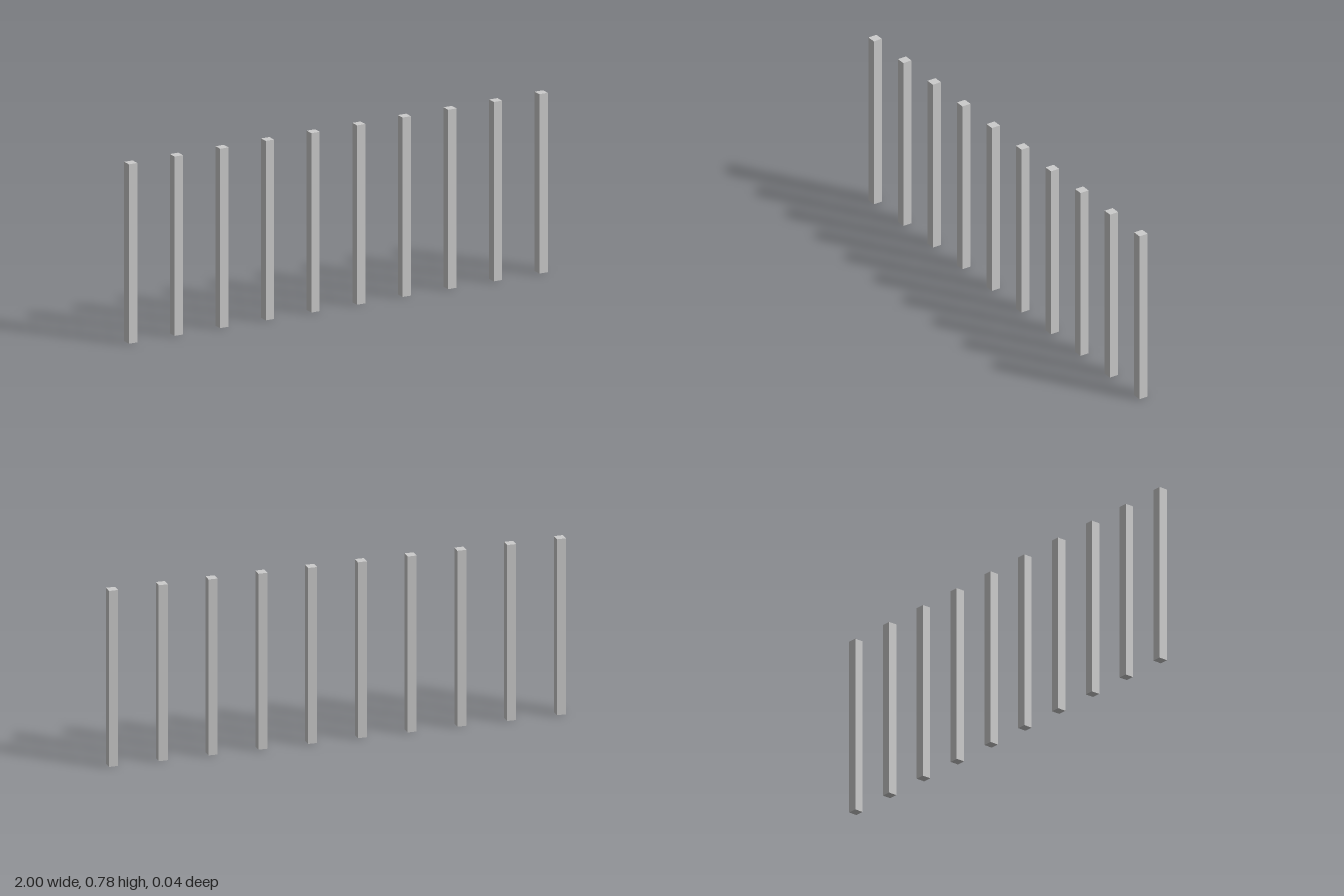
import * as THREE from 'three';

const COUNT = 10;
const LENGTH = 2;
const HEIGHT = 0.784;
const THICKNESS = 0.04;

export function createModel() {
  const model = new THREE.Group();
  model.name = 'balusterRow';

  const material = new THREE.MeshStandardMaterial({ color: 0xcccccc });
  const geometry = new THREE.BoxGeometry(THICKNESS, HEIGHT, THICKNESS);
  const spacing = (LENGTH - THICKNESS) / (COUNT - 1);

  // Evenly spaced square balusters standing on the ground
  for (let i = 0; i < COUNT; i++) {
    const baluster = new THREE.Mesh(geometry, material);
    baluster.name = `baluster${i + 1}`;
    baluster.position.set((i - (COUNT - 1) / 2) * spacing, HEIGHT / 2, 0);
    model.add(baluster);
  }

  return model;
}
